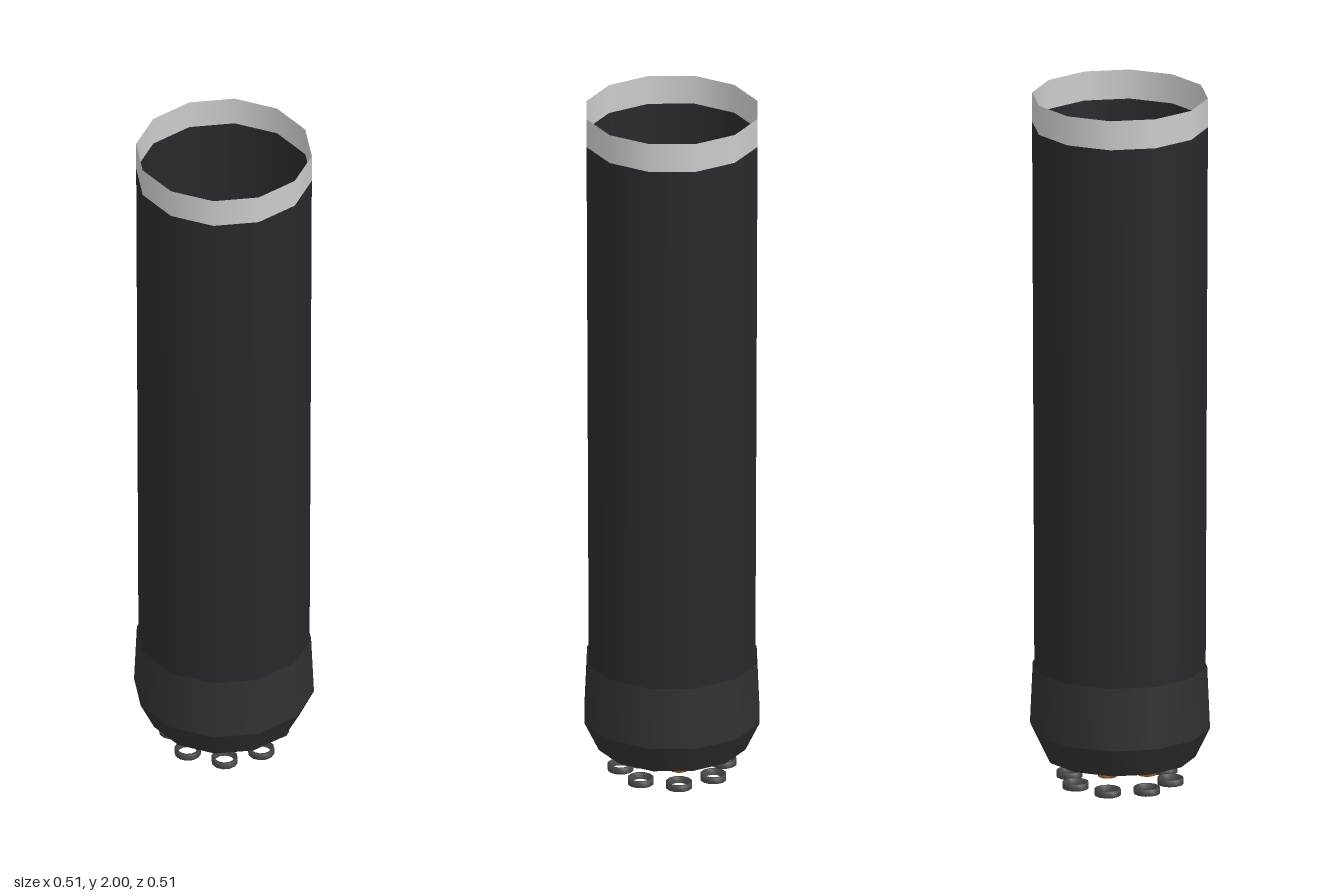
import * as THREE from 'three';

const SIDES = 12;

function material(color) {
  return new THREE.MeshStandardMaterial({ color, side: THREE.DoubleSide });
}

export function createModel() {
  const model = new THREE.Group();
  const glass = material(0xcccccc);
  const shell = material(0x29292e);
  const socket = material(0x303030);
  const copper = material(0xb06a24);
  const steel = material(0x4a4a4a);

  function add(parent, name, geometry, mat, y = 0) {
    const mesh = new THREE.Mesh(geometry, mat);
    mesh.name = name;
    mesh.position.y = y;
    parent.add(mesh);
    return mesh;
  }

  // open twelve-sided wall between two heights
  function wall(name, rBottom, yBottom, rTop, yTop, mat) {
    const g = new THREE.CylinderGeometry(rTop, rBottom, yTop - yBottom, SIDES, 1, true);
    return add(model, name, g, mat, (yBottom + yTop) / 2);
  }

  // clear rim and slightly tapered dark body
  wall('topRim', 0.247, 1.915, 0.247, 2, glass);
  wall('body', 0.24, 0.16, 0.247, 1.915, shell);

  // floor closing the body, its corners aligned with the walls
  const floor = new THREE.CircleGeometry(0.24, SIDES).rotateX(-Math.PI / 2);
  add(model, 'bodyFloor', floor, shell, 0.16);

  // socket shell around the lower end, open below
  wall('baseCollar', 0.253, 0.16, 0.245, 0.34, socket);
  wall('baseTaper', 0.212, 0.075, 0.253, 0.16, socket);

  // ring of eight stepped pins, each with a loose washer beneath it
  const pinProfile = [
    [0, 0.055], [0.027, 0.055], [0.029, 0.062], [0.029, 0.085],
    [0.022, 0.09], [0.022, 0.125], [0.016, 0.13], [0.016, 0.162],
  ].map(([r, y]) => new THREE.Vector2(r, y));
  const washerProfile = [
    [0.029, 0], [0.037, 0], [0.037, 0.018], [0.029, 0.018], [0.029, 0],
  ].map(([r, y]) => new THREE.Vector2(r, y));
  const pinGeometry = new THREE.LatheGeometry(pinProfile, SIDES);
  const washerGeometry = new THREE.LatheGeometry(washerProfile, SIDES);

  for (let i = 0; i < 8; i++) {
    const angle = ((i + 0.5) / 8) * Math.PI * 2;
    const contact = new THREE.Group();
    contact.name = 'contact' + (i + 1);
    contact.position.set(Math.cos(angle) * 0.145, 0, Math.sin(angle) * 0.145);
    add(contact, 'pin', pinGeometry, copper);
    add(contact, 'washer', washerGeometry, steel);
    model.add(contact);
  }

  return model;
}
